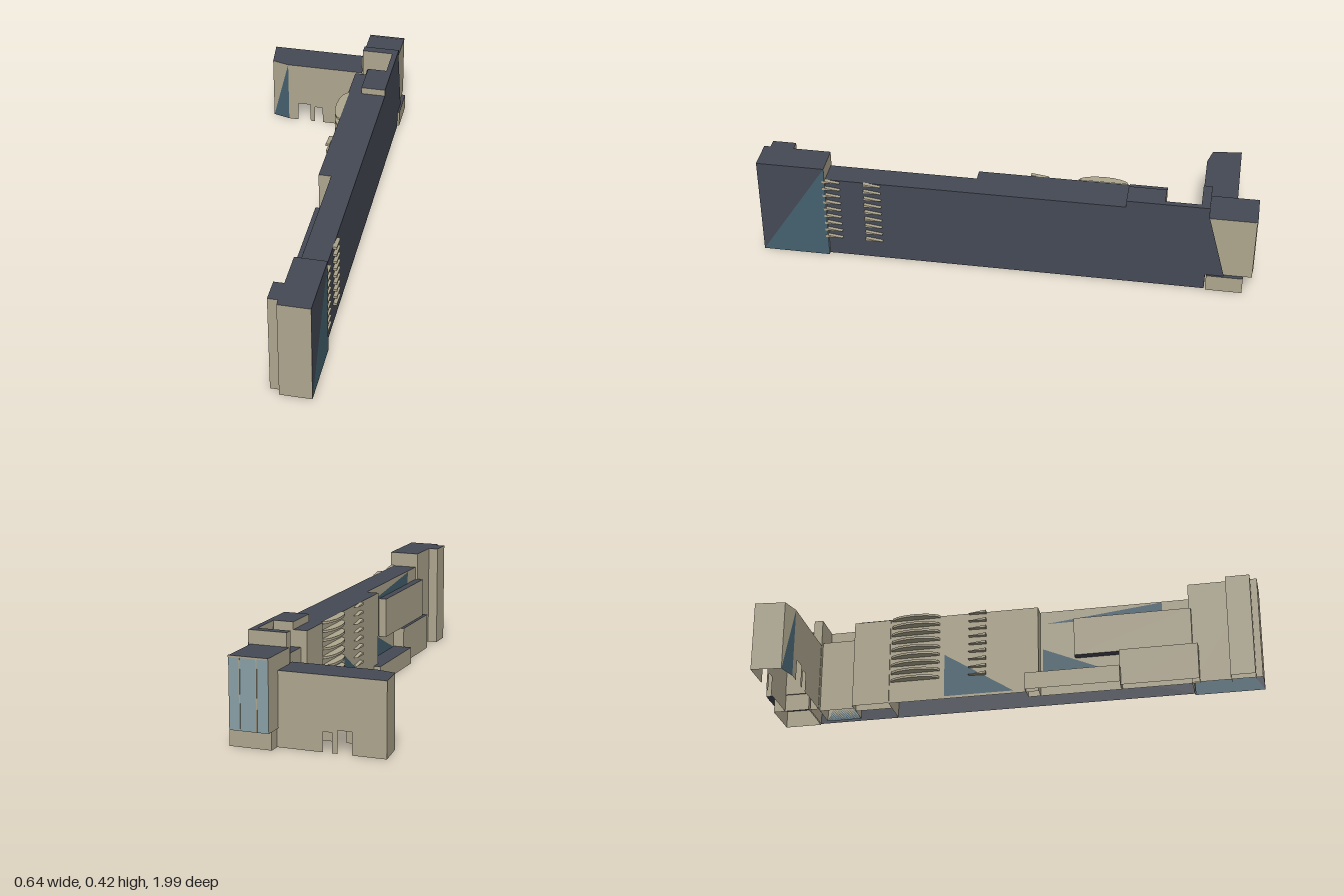
import * as THREE from 'three';

const mat = (name, color) => {
  const m = new THREE.MeshStandardMaterial({ color, flatShading: true, side: THREE.DoubleSide });
  m.name = name;
  return m;
};

export function createModel() {
  const model = new THREE.Group();
  model.name = 'building';
  // the whole block stands at a slight angle to the axes
  const block = new THREE.Group();
  block.name = 'angledBlock';
  block.rotation.y = -0.255;
  model.add(block);

  const mats = [
    mat('tanStone', 0xaea68e),
    mat('darkSlate', 0x454955),
    mat('tealPanel', 0x45616f),
    mat('paleGlass', 0x88a0a6),
  ];
  const T = 0, D = 1, B = 2, G = 3;

  // triangles given as [material, a, b, c]
  function faces(name, tris) {
    const pos = [];
    const geo = new THREE.BufferGeometry();
    tris.forEach(([m, ...p], i) => {
      p.forEach((v) => pos.push(...v));
      geo.addGroup(i * 3, 3, m);
    });
    geo.setAttribute('position', new THREE.Float32BufferAttribute(pos, 3));
    geo.computeVertexNormals();
    const mesh = new THREE.Mesh(geo, mats);
    mesh.name = name;
    block.add(mesh);
    return mesh;
  }

  // hollow volume from a footprint [x, z]; walls maps an edge to a colour, or to
  // two colours split on the diagonal, or to -1 for no wall
  function volume(name, pts, y0, y1, walls = {}, soffit = false) {
    const area = pts.reduce((s, p, i) => {
      const q = pts[(i + 1) % pts.length];
      return s + p[0] * q[1] - q[0] * p[1];
    }, 0);
    const tris = [];
    const add = (m, a, b, c) => tris.push(area > 0 ? [m, a, c, b] : [m, a, b, c]);
    pts.forEach(([x, z], i) => {
      const [u, w] = pts[(i + 1) % pts.length];
      const c = walls[i] ?? T;
      if (c === -1) return;
      const [c1, c2] = Array.isArray(c) ? c : [c, c];
      add(c1, [x, y0, z], [u, y0, w], [u, y1, w]);
      add(c2, [x, y0, z], [u, y1, w], [x, y1, z]);
    });
    const v2 = pts.map((p) => new THREE.Vector2(...p));
    for (const t of THREE.ShapeUtils.triangulateShape(v2, [])) {
      const at = (y) => t.map((k) => [pts[k][0], y, pts[k][1]]);
      const flip = (p) => {
        const n = (p[1][2] - p[0][2]) * (p[2][0] - p[0][0]) - (p[1][0] - p[0][0]) * (p[2][2] - p[0][2]);
        return n < 0 ? [p[0], p[2], p[1]] : p;
      };
      tris.push([D, ...flip(at(y1))]);
      if (soffit) tris.push([D, ...flip(at(y0)).reverse()]);
    }
    return faces(name, tris);
  }
  const rect = (x0, x1, z0, z1) => [[x1, z1], [x1, z0], [x0, z0], [x0, z1]];
  const box = (name, x0, x1, z0, z1, y0, y1, walls, soffit) =>
    volume(name, rect(x0, x1, z0, z1), y0, y1, walls, soffit);

  // long slab, dark on its outer side
  volume('longSlab', [[0.07, 0.73], [0.07, -0.475], [-0.08, -0.475], [-0.08, 0.13], [-0.03, 0.13], [-0.03, 0.73]],
    0, 0.364, { 0: D, 1: -1, 5: -1 });
  faces('slabUpperPanel', [[B, [-0.032, 0.31, 0.15], [-0.032, 0.31, 0.62], [-0.032, 0.36, 0.62]]]);
  faces('wallPanel', [[B, [-0.082, 0.01, -0.25], [-0.082, 0.01, 0.03], [-0.082, 0.19, -0.25]]]);

  // raised north part with a sunken court
  volume('raisedPart', [[0.07, -0.475], [0.07, -0.8], [-0.08, -0.8], [-0.08, -0.765], [0.048, -0.765],
    [0.048, -0.625], [-0.03, -0.625], [-0.03, -0.475]], 0, 0.393, { 0: D, 4: [B, T] });
  box('raisedPartShoulder', -0.085, -0.03, -0.625, -0.475, 0, 0.364);
  box('courtFloor', -0.06, 0.048, -0.765, -0.625, 0, 0.3);
  faces('slantedSlabEdge', [[D, [0.07, 0.39, -0.79], [0.07, 0.07, -0.8], [0.07, 0.07, -0.875]]]);

  // north head: plinth, upper box and glass front
  box('northPlinth', -0.085, 0.078, -0.95, -0.805, 0, 0.07);
  box('northHead', -0.09, 0.062, -0.985, -0.8, 0.07, 0.34, { 1: G }, true);
  for (const x of [-0.045, 0.02]) box('glassMullion', x - 0.002, x + 0.002, -0.988, -0.985, 0.07, 0.34);
  box('glassHeader', -0.09, 0.062, -0.988, -0.978, 0.334, 0.341);

  // side wing with door notches along its two long walls
  volume('sideWing', [[-0.085, -0.765], [-0.085, -0.903], [-0.499, -0.903], [-0.485, -0.785], [-0.413, -0.765]],
    0, 0.28, { 0: -1, 1: -1, 3: [B, T], 4: -1 });
  function doorWall(x0, z) {
    const s = new THREE.Shape();
    s.moveTo(-0.085, 0);
    for (const [a, b, h] of [[-0.26, -0.295, 0.075], [-0.315, -0.37, 0.085]]) {
      s.lineTo(a, 0).lineTo(a, h).lineTo(b, h).lineTo(b, 0);
    }
    s.lineTo(x0, 0).lineTo(x0, 0.28).lineTo(-0.085, 0.28);
    const m = new THREE.Mesh(new THREE.ShapeGeometry(s), mats[T]);
    m.name = 'wingDoorWall';
    m.position.z = z;
    block.add(m);
  }
  doorWall(-0.499, -0.903);
  doorWall(-0.413, -0.765);

  // south tower, with a stepped pier on its inner side
  box('southTower', -0.04, 0.084, 0.725, 0.998, 0, 0.423, { 0: [B, D] });
  box('towerPier', -0.08, 0, 0.877, 0.972, 0, 0.423, { 0: -1 });

  // stepped additions along the inner side
  box('lowLedge', -0.108, -0.03, 0.08, 0.454, 0, 0.07);
  box('lowerAnnex', -0.076, -0.03, 0.45, 0.757, 0, 0.15);
  box('upperAnnex', -0.062, -0.03, 0.27, 0.735, 0.15, 0.31, {}, true);
  faces('recessPanel', [[B, [-0.032, 0.07, 0.14], [-0.032, 0.07, 0.44], [-0.032, 0.2, 0.14]]]);

  // thin balcony fins, nine storeys
  const finShape = new THREE.Shape();
  finShape.moveTo(0, 0).lineTo(0.07, 0.002).lineTo(0, 0.011);
  const fin = new THREE.ExtrudeGeometry(finShape, { depth: 0.016, bevelEnabled: false });
  fin.rotateY(Math.PI / 2);
  const half = new THREE.CylinderGeometry(1, 1, 0.009, 8, 1, false, Math.PI, Math.PI);
  half.scale(0.036, 1, 0.1);
  const place = (name, geo, x, y, z) => {
    const m = new THREE.Mesh(geo, mats[T]);
    m.name = name;
    m.position.set(x, y, z);
    block.add(m);
  };
  for (let i = 0; i < 9; i++) {
    const y = 0.088 + i * 0.0335;
    place('outerFin', fin, 0.069, y, 0.735);
    place('outerFin', fin, 0.069, y, 0.57);
    place('innerFin', fin, -0.097, y, -0.08);
    place('curvedBalcony', half, -0.079, y + 0.006, -0.37);
  }
  return model;
}
